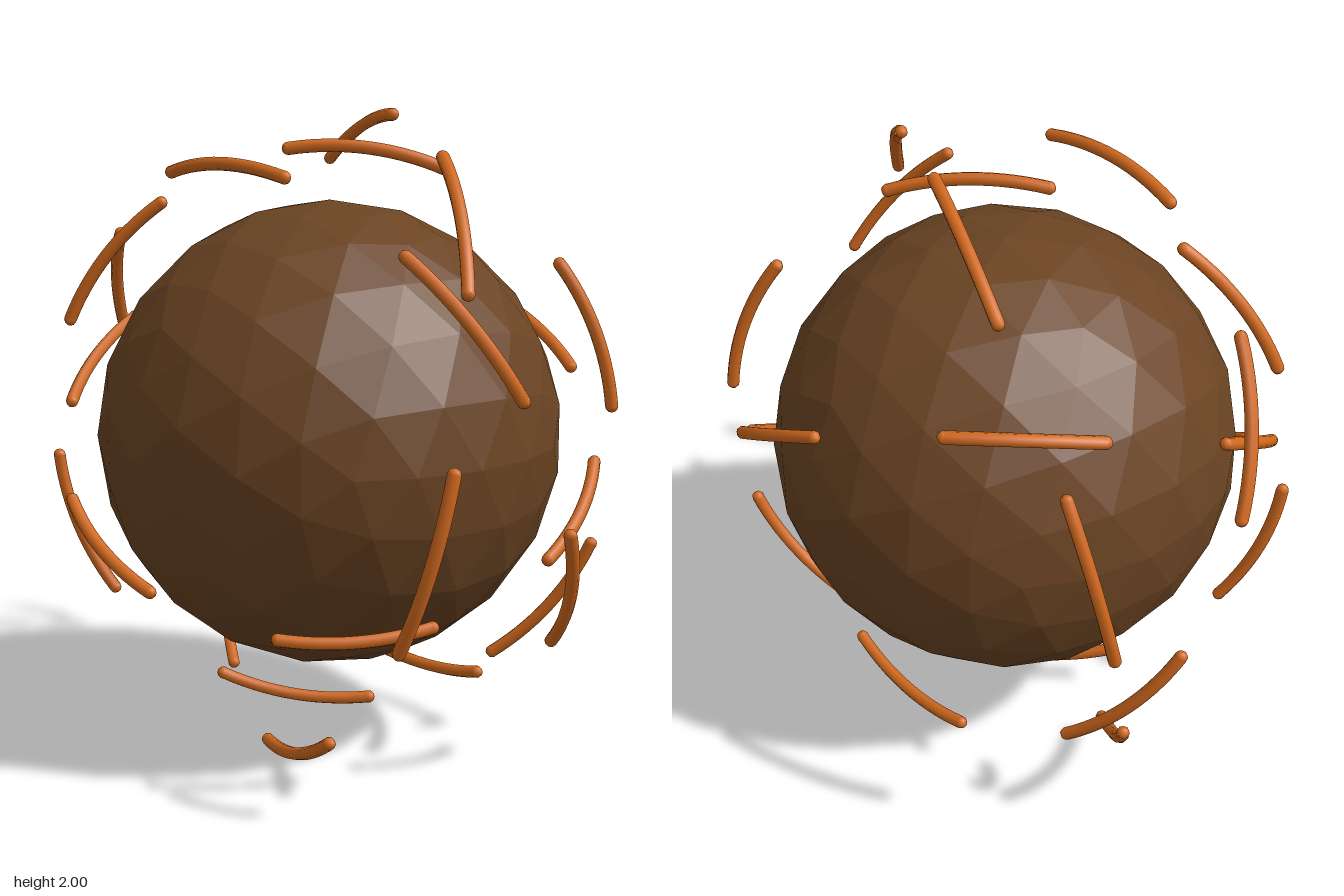
import * as THREE from 'three';
import { mergeGeometries } from 'three/addons/utils/BufferGeometryUtils.js';

const TUBE = 0.02;

// Great-circle arc between two points around the origin
class OrbitArc extends THREE.Curve {
  constructor(a, b) {
    super();
    this.a = a;
    this.b = b;
    this.angle = a.angleTo(b);
  }
  getPoint(t, target = new THREE.Vector3()) {
    const { a, b, angle } = this;
    const s = Math.sin(angle);
    return target.copy(a).multiplyScalar(Math.sin((1 - t) * angle) / s)
      .addScaledVector(b, Math.sin(t * angle) / s);
  }
}

// Curved bar with rounded ends
function barGeometry(start, end) {
  const full = new OrbitArc(start, end);
  const inset = 0.012 / full.getLength();
  const a = full.getPoint(inset), b = full.getPoint(1 - inset);
  const parts = [new THREE.TubeGeometry(new OrbitArc(a, b), 14, TUBE, 8)];
  for (const p of [a, b]) {
    parts.push(new THREE.SphereGeometry(TUBE, 8, 6).translate(p.x, p.y, p.z));
  }
  return mergeGeometries(parts);
}

export function createModel() {
  const brown = new THREE.MeshStandardMaterial({ color: 0x6b4423 });
  brown.name = 'dark brown';
  brown.flatShading = true;
  const orange = new THREE.MeshStandardMaterial({ color: 0xd2691e });
  orange.name = 'orange';

  const model = new THREE.Group();
  model.name = 'ballWithOrbitingBars';

  // Faceted core
  const core = new THREE.Mesh(new THREE.IcosahedronGeometry(0.725, 3), brown);
  core.name = 'core';
  core.position.y = 1;
  model.add(core);

  // Bar ends relative to the core centre; each bar has an opposite twin
  const bars = [
    [[-0.48, 0.81, -0.36], [0.04, 0.98, -0.22]],
    [[-0.07, 0.88, 0.12], [0.29, 0.82, -0.23]],
    [[-0.25, 0.81, 0.42], [0.29, 0.82, 0.37]],
    [[0.47, 0.88, -0.05], [0.84, 0.52, 0.165]],
    [[0.66, 0.63, 0.25], [0.92, 0.22, 0.02]],
    [[0.95, 0.08, 0.30], [0.81, -0.46, 0.38]],
    [[0.91, -0.17, -0.17], [0.64, -0.60, -0.36]],
    [[0.51, 0.55, -0.48], [0.62, 0.09, -0.62]],
    [[0.57, -0.07, -0.60], [0.73, -0.31, -0.25]],
    [[0.42, -0.48, 0.52], [0.68, -0.45, 0.13]],
    [[-0.33, 0.72, 0.39], [-0.57, 0.33, 0.60]],
    [[-0.30, -0.16, 0.76], [0.11, -0.38, 0.73]],
  ];
  const ring = new THREE.Group();
  ring.name = 'orbitingBars';
  ring.position.y = 1;
  bars.forEach(([p, q], i) => {
    for (const side of [1, -1]) {
      const a = new THREE.Vector3(...p).multiplyScalar(side);
      const b = new THREE.Vector3(...q).multiplyScalar(side);
      const bar = new THREE.Mesh(barGeometry(a, b), orange);
      bar.name = (side > 0 ? 'bar' : 'oppositeBar') + (i + 1);
      ring.add(bar);
    }
  });
  model.add(ring);
  return model;
}
